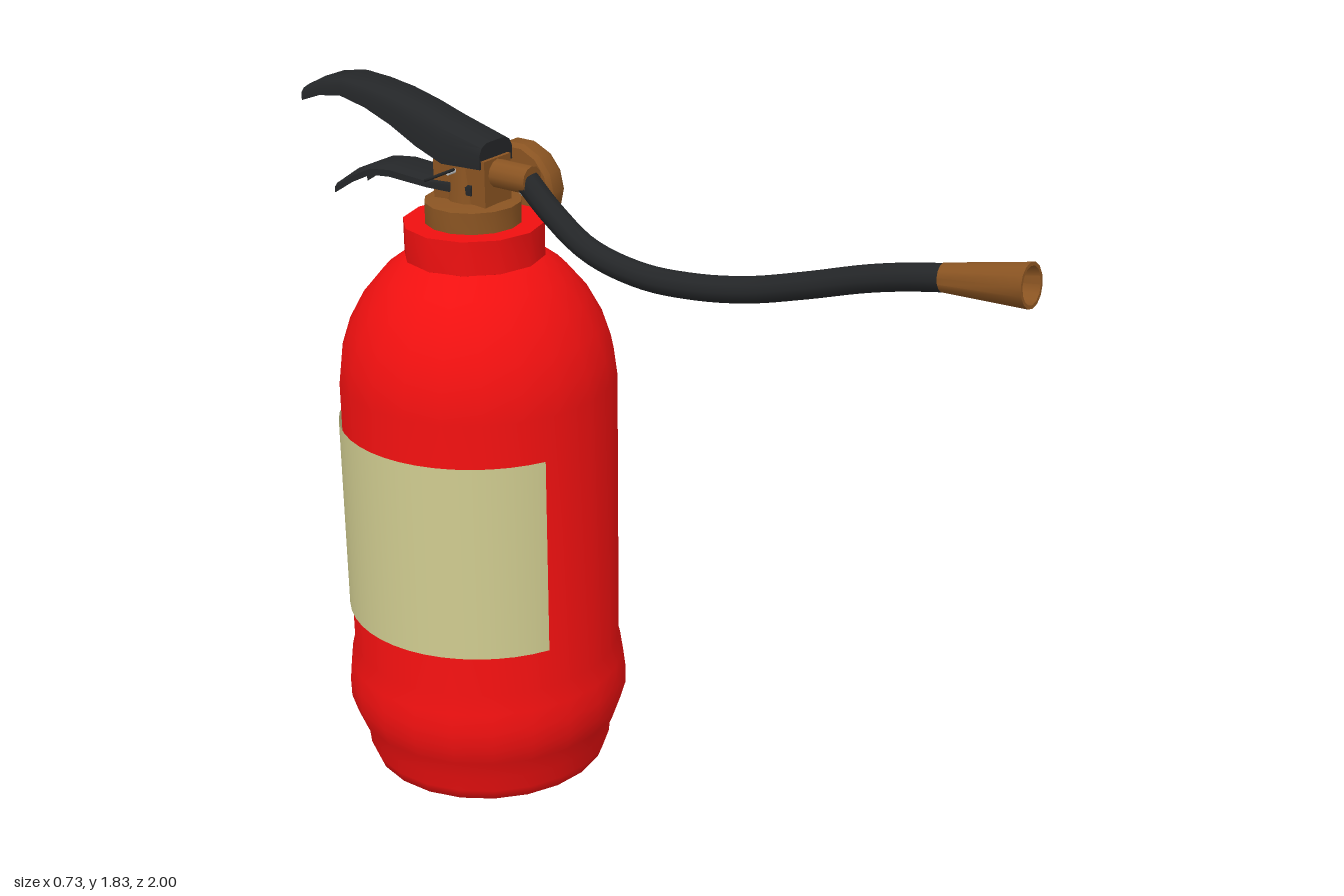
import * as THREE from 'three';
import { toCreasedNormals } from 'three/addons/utils/BufferGeometryUtils.js';

const AXIS_Z = -0.5; // the bottle stands behind the origin, the hose reaches forward

const paint = (color, side = THREE.FrontSide) => new THREE.MeshStandardMaterial({ color, side });
const red = paint(0xf01010);
const cream = paint(0xd0cc90, THREE.DoubleSide);
const brass = paint(0x8a5422, THREE.DoubleSide);
const black = paint(0x242628, THREE.DoubleSide);
const grey = paint(0xcccccc);

const v2 = (pts) => pts.map(([x, y]) => new THREE.Vector2(x, y));

export function createModel() {
  const model = new THREE.Group();

  const add = (name, geometry, material, x = 0, y = 0, z = AXIS_Z) => {
    const mesh = new THREE.Mesh(geometry, material);
    mesh.name = name;
    mesh.position.set(x, y, z);
    model.add(mesh);
    return mesh;
  };
  const turned = (pts, sides, crease = 0.7) =>
    toCreasedNormals(new THREE.LatheGeometry(v2(pts), sides), crease);

  // Bottle with bulged foot and domed shoulder
  add('bottle', turned([
    [0, 0], [0.16, 0.01], [0.27, 0.025], [0.31, 0.05], [0.322, 0.08], [0.326, 0.12],
    [0.352, 0.18], [0.367, 0.23], [0.368, 0.28], [0.362, 0.33], [0.35, 0.38],
    [0.35, 1.12], [0.341, 1.19], [0.318, 1.26], [0.28, 1.33], [0.23, 1.39], [0.17, 1.435], [0, 1.44],
  ], 22), red);
  add('neck', turned([[0.14, 1.42], [0.175, 1.435], [0.175, 1.52], [0, 1.52]], 12), red);

  // Label wraps the back and ends unevenly on the two front sides
  add('label', new THREE.CylinderGeometry(0.356, 0.356, 0.52, 36, 1, true, 1.17, 4.69), cream, 0, 0.75);

  // Valve
  add('collar', turned([[0.12, 1.515], [0.12, 1.573], [0.07, 1.578], [0, 1.578]], 14), brass);
  add('valveBody', new THREE.BoxGeometry(0.1, 0.12, 0.16), brass, 0, 1.63);
  add('valveStem', new THREE.CylinderGeometry(0.055, 0.065, 0.1, 10), brass, 0, 1.62);
  add('hoseFitting', new THREE.CylinderGeometry(0.035, 0.035, 0.15, 12), brass, 0, 1.652, -0.39)
    .rotation.x = Math.PI / 2;

  // Pressure gauge on the left side
  add('gaugeStem', new THREE.CylinderGeometry(0.033, 0.033, 0.16, 12), grey, 0.1, 1.565)
    .rotation.z = -Math.PI / 2;
  const gauge = new THREE.Group();
  gauge.name = 'gauge';
  gauge.position.set(0.16, 1.56, AXIS_Z);
  gauge.rotation.z = -Math.PI / 2;
  const rim = new THREE.Mesh(turned([
    [0, 0], [0.105, 0], [0.115, 0.012], [0.115, 0.05], [0.105, 0.066], [0.093, 0.066], [0.093, 0.05],
  ], 14, 0.6), brass);
  rim.name = 'gaugeRim';
  const dial = new THREE.Mesh(new THREE.CylinderGeometry(0.095, 0.095, 0.02, 14), cream);
  dial.name = 'gaugeDial';
  dial.position.y = 0.053;
  gauge.add(rim, dial);
  model.add(gauge);

  // Levers: bent channels lofted from stations [z, top, bottom, halfWidth]
  const channel = (stations) => {
    const arch = [[-1, 0], [-1, 0.55], [-0.85, 0.85], [-0.55, 1], [0.55, 1], [0.85, 0.85], [1, 0.55], [1, 0]];
    const positions = [], index = [], n = arch.length;
    stations.forEach(([z, top, bottom, w], i) => {
      arch.forEach(([u, t]) => positions.push(u * w, bottom + (top - bottom) * t, z));
      for (let j = 0; i > 0 && j < n - 1; j++) {
        const a = (i - 1) * n + j, b = i * n + j;
        index.push(a, a + 1, b, a + 1, b + 1, b);
      }
    });
    // close the front end
    for (let j = 1; j < n - 1; j++) index.push(0, j + 1, j);
    const g = new THREE.BufferGeometry();
    g.setAttribute('position', new THREE.Float32BufferAttribute(positions, 3));
    g.setIndex(index);
    return toCreasedNormals(g, 0.7);
  };
  add('upperLever', channel([
    [-0.43, 1.73, 1.67, 0.062], [-0.55, 1.765, 1.665, 0.062], [-0.63, 1.79, 1.695, 0.062],
    [-0.71, 1.81, 1.735, 0.062], [-0.79, 1.822, 1.765, 0.062], [-0.87, 1.827, 1.782, 0.062],
    [-0.94, 1.815, 1.772, 0.062], [-1.0, 1.785, 1.75, 0.062],
  ]), black, 0.007, 0, 0);
  add('lowerLever', channel([
    [-0.46, 1.635, 1.6, 0.055], [-0.6, 1.625, 1.597, 0.055], [-0.72, 1.633, 1.602, 0.055],
    [-0.78, 1.625, 1.597, 0.057], [-0.84, 1.598, 1.568, 0.06], [-0.9, 1.557, 1.53, 0.06],
  ]), black, 0, 0, 0);

  // Safety pin with pull ring on the right side
  add('pin', new THREE.CylinderGeometry(0.006, 0.006, 0.15, 6), grey, -0.005, 1.655, -0.51)
    .rotation.z = Math.PI / 2;
  add('pinRing', new THREE.TorusGeometry(0.036, 0.004, 6, 18), black, -0.115, 1.66, -0.505)
    .rotation.x = Math.PI / 2 - 0.45;

  // Hose sagging forward
  const path = new THREE.CatmullRomCurve3([
    [-0.33, 1.648], [-0.26, 1.585], [-0.15, 1.513], [0, 1.48], [0.15, 1.484], [0.3, 1.508],
    [0.45, 1.55], [0.6, 1.597], [0.7, 1.622], [0.81, 1.643],
  ].map(([z, y]) => new THREE.Vector3(0, y, z)));
  add('hose', new THREE.TubeGeometry(path, 40, 0.031, 10), black, 0, 0, 0);

  // Flared nozzle with a hollow mouth
  add('nozzle', turned([
    [0, 0], [0.032, 0], [0.05, 0.205], [0.042, 0.205], [0.025, 0.05], [0, 0.05],
  ], 14), brass, 0, 1.64, 0.79).rotation.x = Math.PI / 2 - 0.12;

  return model;
}
